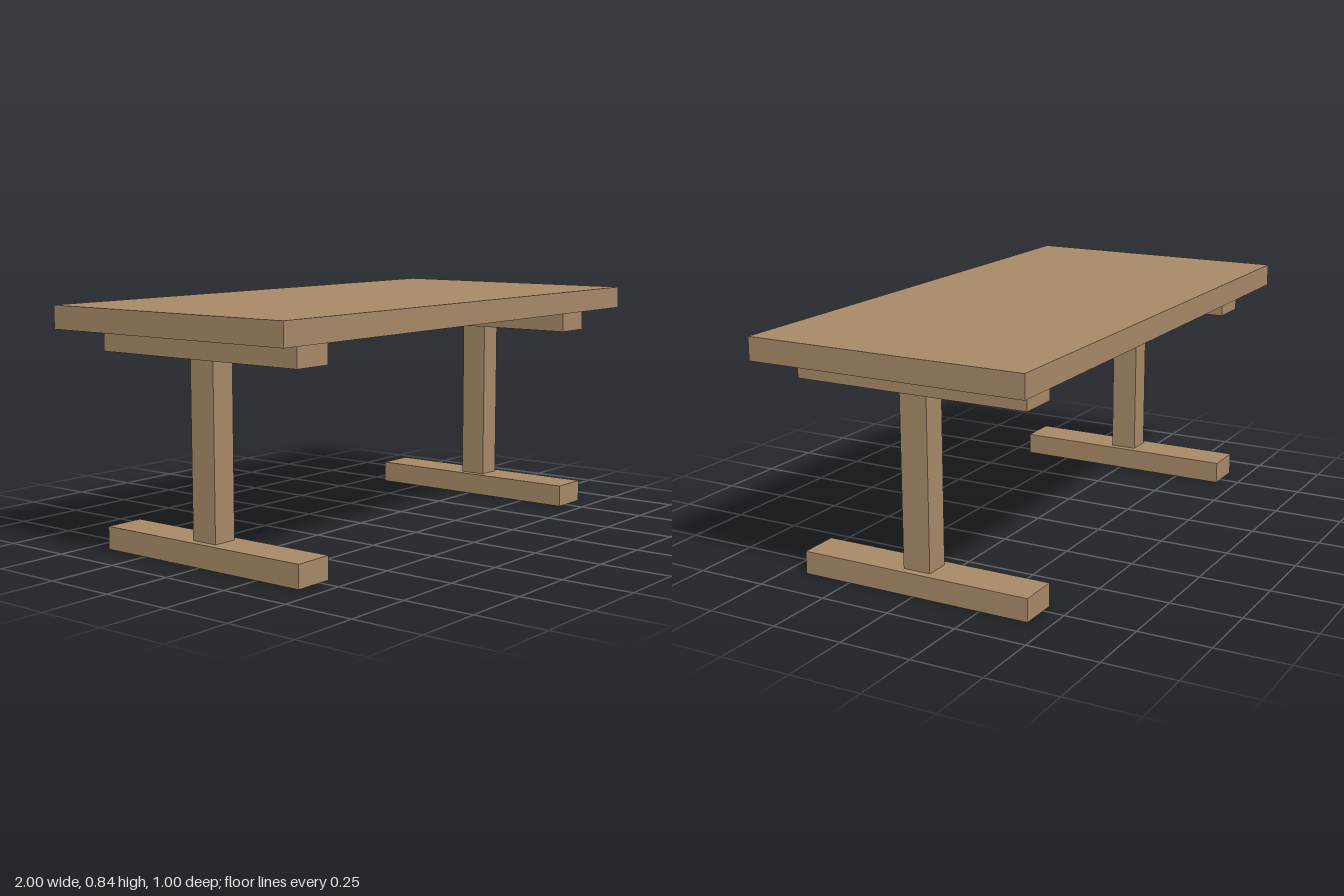
import * as THREE from 'three';

export function createModel() {
  const table = new THREE.Group();
  table.name = 'trestleTable';
  const wood = new THREE.MeshStandardMaterial({ color: 0xa68867 });
  wood.name = 'wood';

  // Box given by its size, resting on height y
  const addBox = (parent, name, width, height, depth, y) => {
    const mesh = new THREE.Mesh(new THREE.BoxGeometry(width, height, depth), wood);
    mesh.name = name;
    mesh.position.y = y + height / 2;
    parent.add(mesh);
  };

  addBox(table, 'tableTop', 2, 0.08, 1, 0.76);

  // Two I-shaped trestles: foot, post and bearer under the top
  for (const [name, x] of [['leftTrestle', 0.78], ['rightTrestle', -0.78]]) {
    const trestle = new THREE.Group();
    trestle.name = name;
    trestle.position.x = x;
    addBox(trestle, 'foot', 0.145, 0.08, 0.85, 0);
    addBox(trestle, 'post', 0.09, 0.6, 0.1, 0.08);
    addBox(trestle, 'bearer', 0.145, 0.08, 0.85, 0.68);
    table.add(trestle);
  }
  return table;
}
